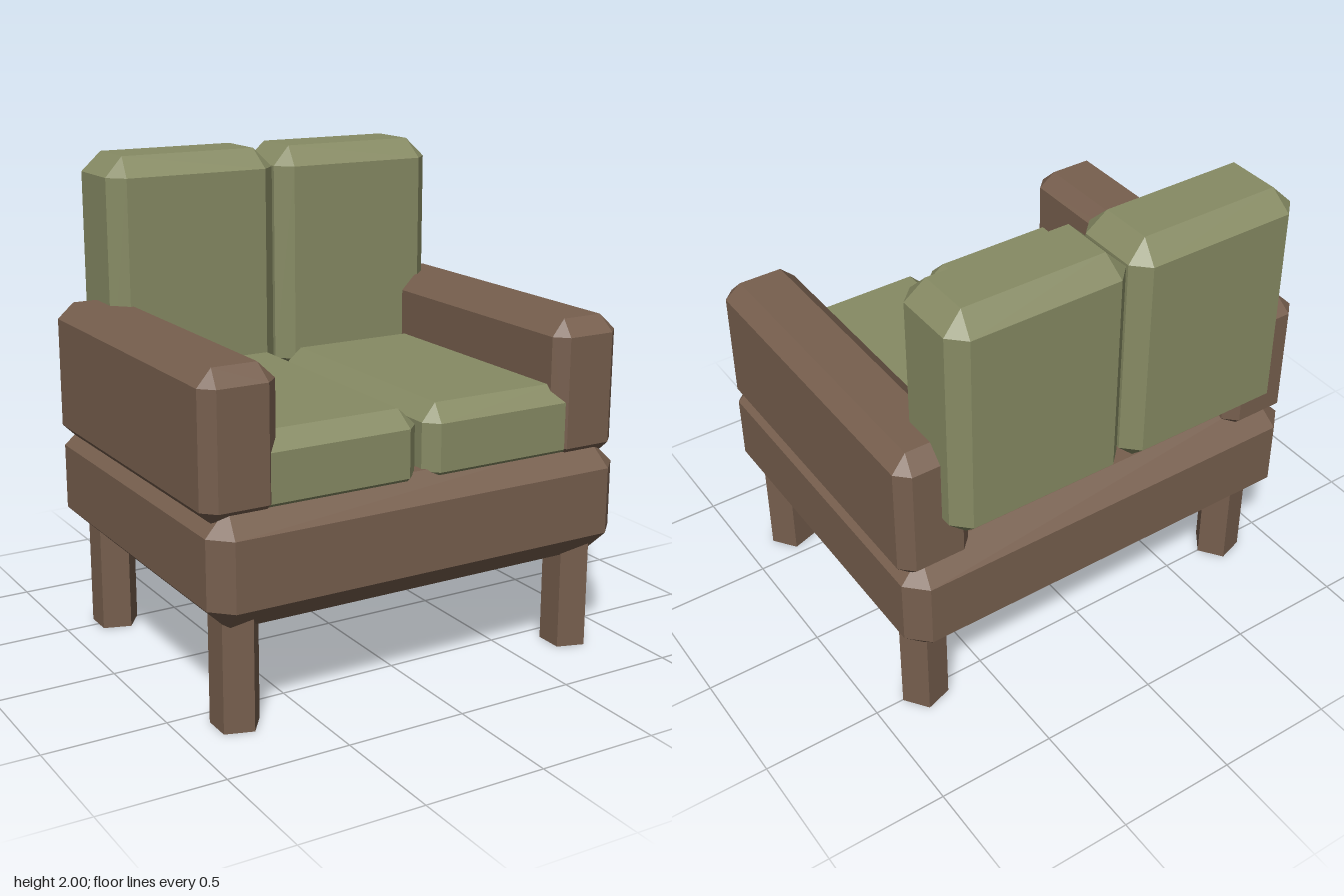
import * as THREE from 'three';
import { ConvexGeometry } from 'three/addons/geometries/ConvexGeometry.js';

// Box with bevelled edges: t on the top and bottom edges, v on the upright edges
function bevelBox([x0, x1], [y0, y1], [z0, z1], t, v) {
  const hx = (x1 - x0) / 2, hy = (y1 - y0) / 2, hz = (z1 - z0) / 2;
  const points = [];
  for (const sx of [-1, 1]) for (const sy of [-1, 1]) for (const sz of [-1, 1]) {
    points.push(
      new THREE.Vector3(sx * (hx - t), sy * hy, sz * (hz - t)),
      new THREE.Vector3(sx * hx, sy * (hy - t), sz * (hz - v)),
      new THREE.Vector3(sx * (hx - v), sy * (hy - t), sz * hz)
    );
  }
  const geometry = new ConvexGeometry(points);
  geometry.translate((x0 + x1) / 2, (y0 + y1) / 2, (z0 + z1) / 2);
  return geometry;
}

export function createModel() {
  const group = new THREE.Group();
  const wood = new THREE.MeshStandardMaterial({ color: 0x775f4e });
  wood.name = 'brown wood';
  const fabric = new THREE.MeshStandardMaterial({ color: 0x878b64 });
  fabric.name = 'olive fabric';
  wood.flatShading = fabric.flatShading = true;

  const add = (name, geometry, material) => {
    const mesh = new THREE.Mesh(geometry, material);
    mesh.name = name;
    group.add(mesh);
    return mesh;
  };

  // Seat base
  add('base', bevelBox([-0.925, 0.925], [0.407, 0.883], [-0.71, 0.788], 0.1, 0.08), wood);

  for (const [side, s] of [['left', 1], ['right', -1]]) {
    const span = (a, b) => (s > 0 ? [a, b] : [-b, -a]);

    // Armrest
    add(side + 'Armrest', bevelBox(span(0.622, 0.934), [0.81, 1.396], [-0.675, 0.733], 0.065, 0.052), wood);

    // Seat and back cushions
    add(side + 'SeatCushion', bevelBox(span(0.016, 0.74), [0.805, 1.135], [-0.45, 0.725], 0.068, 0.054), fabric);
    add(side + 'BackCushion', bevelBox(span(0.005, 0.765), [1.0, 2.0], [-0.787, -0.405], 0.081, 0.065), fabric);

    // Five-sided legs
    for (const [end, z] of [['Front', 0.635], ['Back', -0.502]]) {
      const leg = add(side + end + 'Leg', new THREE.CylinderGeometry(0.1, 0.1, 0.52, 5, 1, false, Math.PI / 2), wood);
      leg.position.set(s * 0.777, 0.26, z);
    }
  }
  return group;
}
